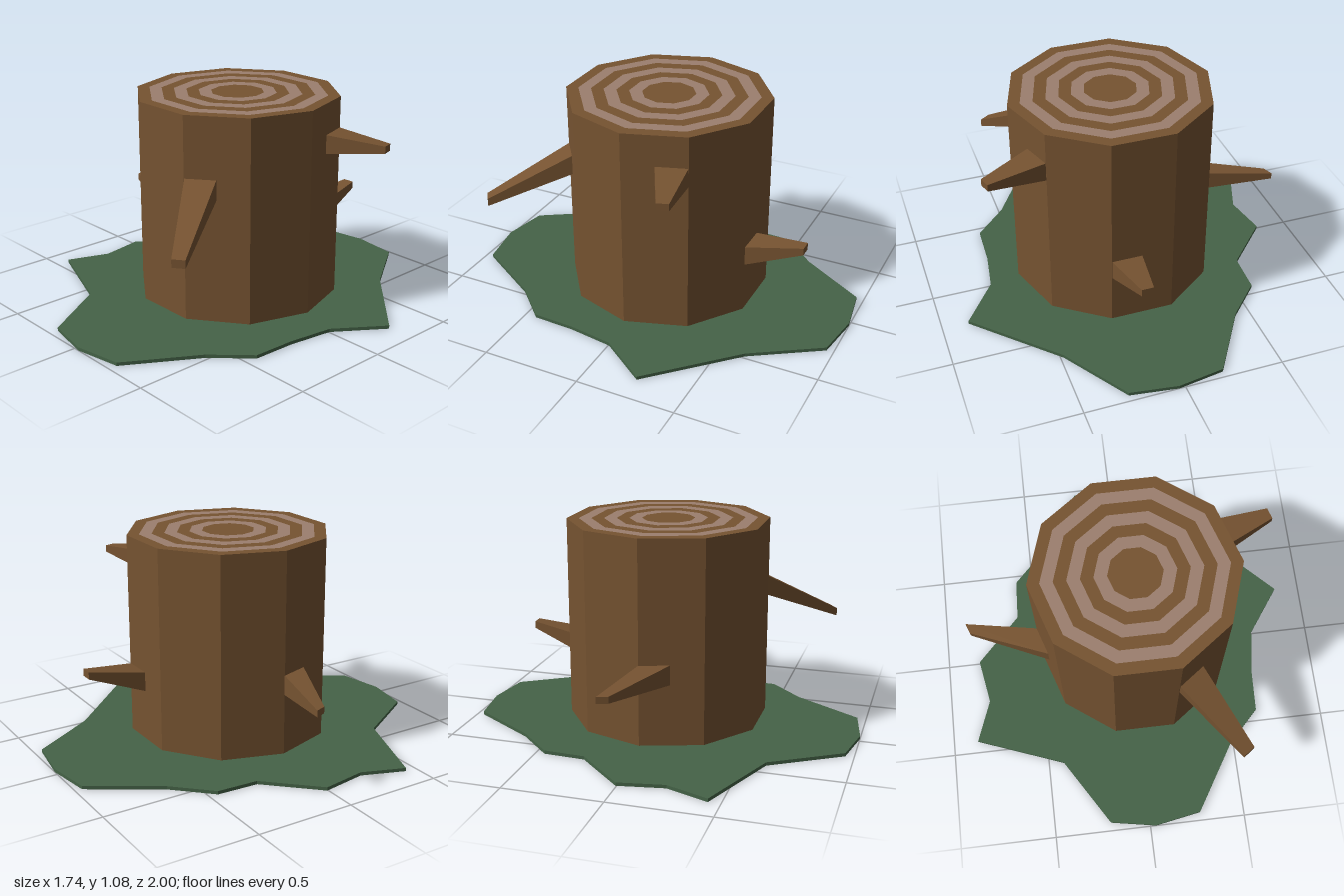
import * as THREE from 'three';

const mat = (color) => new THREE.MeshStandardMaterial({ color, flatShading: true });
const bark = mat(0x765331);
const paleWood = mat(0x9c7f6e);
const grass = mat(0x456347);

const CX = 0.034, CZ = -0.007, RADIUS = 0.511, SIDES = 10, BOTTOM = 0.05, TOP = 1.075;

function add(group, name, geometry, material) {
  const mesh = new THREE.Mesh(geometry, material);
  mesh.name = name;
  group.add(mesh);
  return mesh;
}

// Tapered four-sided branch: each end is two [x, z] corners and a [low, high] height
function branchGeometry(base, tip) {
  const geometry = new THREE.BoxGeometry(1, 1, 1);
  const p = geometry.attributes.position;
  for (let i = 0; i < p.count; i++) {
    const end = p.getZ(i) < 0 ? base : tip;
    const [x, z] = p.getX(i) < 0 ? end.a : end.b;
    p.setXYZ(i, x, end.y[p.getY(i) < 0 ? 0 : 1], z);
  }
  geometry.computeVertexNormals();
  return geometry;
}

export function createModel() {
  const model = new THREE.Group();
  model.name = 'treeStump';

  // Ragged grass patch, outline as [x, z]
  const outline = [
    [0.03, -1], [0.27, -0.965], [0.485, -0.63], [0.867, -0.245], [0.695, -0.005],
    [0.66, 0.225], [0.65, 0.44], [0.485, 0.61], [0.27, 0.957], [0.03, 1],
    [-0.205, 0.957], [-0.42, 0.61], [-0.87, 0.44], [-0.79, 0.225], [-0.83, -0.005],
    [-0.6, -0.245], [-0.59, -0.455], [-0.42, -0.63], [-0.205, -0.965],
  ];
  const shape = new THREE.Shape(outline.map(([x, z]) => new THREE.Vector2(x, -z)));
  const patch = new THREE.ExtrudeGeometry(shape, { depth: 0.017, bevelEnabled: false });
  add(model, 'grassPatch', patch.rotateX(-Math.PI / 2), grass);

  // Ten-sided trunk: open wall plus underside
  const height = TOP - BOTTOM;
  const wall = new THREE.CylinderGeometry(RADIUS, RADIUS, height, SIDES, 1, true, Math.PI / 2);
  add(model, 'trunk', wall, bark).position.set(CX, BOTTOM + height / 2, CZ);
  const underside = new THREE.CircleGeometry(RADIUS, SIDES).rotateX(Math.PI / 2);
  add(model, 'trunkUnderside', underside, bark).position.set(CX, BOTTOM, CZ);

  // Cut face: alternating growth rings, flush with the top
  const rings = new THREE.Group();
  rings.name = 'growthRings';
  rings.position.set(CX, TOP, CZ);
  const radii = [0, 0.133, 0.197, 0.26, 0.324, 0.387, 0.45, RADIUS];
  for (let i = 0; i < radii.length - 1; i++) {
    const ring = i === 0
      ? new THREE.CircleGeometry(radii[1], SIDES)
      : new THREE.RingGeometry(radii[i], radii[i + 1], SIDES);
    add(rings, 'ring' + i, ring.rotateX(-Math.PI / 2), i % 2 ? paleWood : bark);
  }
  model.add(rings);

  // Broken branches on four sides
  const branches = {
    frontBranch: [
      { a: [0.193, 0.476], b: [0.317, 0.388], y: [0.67, 0.77] },
      { a: [0.48, 0.797], b: [0.532, 0.76], y: [0.505, 0.545] }],
    rightBranch: [
      { a: [-0.475, -0.008], b: [-0.428, 0.137], y: [0.36, 0.46] },
      { a: [-0.845, -0.087], b: [-0.825, -0.033], y: [0.395, 0.428] }],
    leftBranch: [
      { a: [0.494, -0.158], b: [0.447, -0.306], y: [0.823, 0.918] },
      { a: [0.75, -0.292], b: [0.733, -0.348], y: [0.855, 0.89] }],
    backBranch: [
      { a: [0.19, -0.492], b: [0.036, -0.492], y: [0.31, 0.41] },
      { a: [0.143, -0.775], b: [0.083, -0.775], y: [0.415, 0.452] }],
  };
  for (const [name, [base, tip]] of Object.entries(branches)) {
    add(model, name, branchGeometry(base, tip), bark);
  }

  return model;
}
